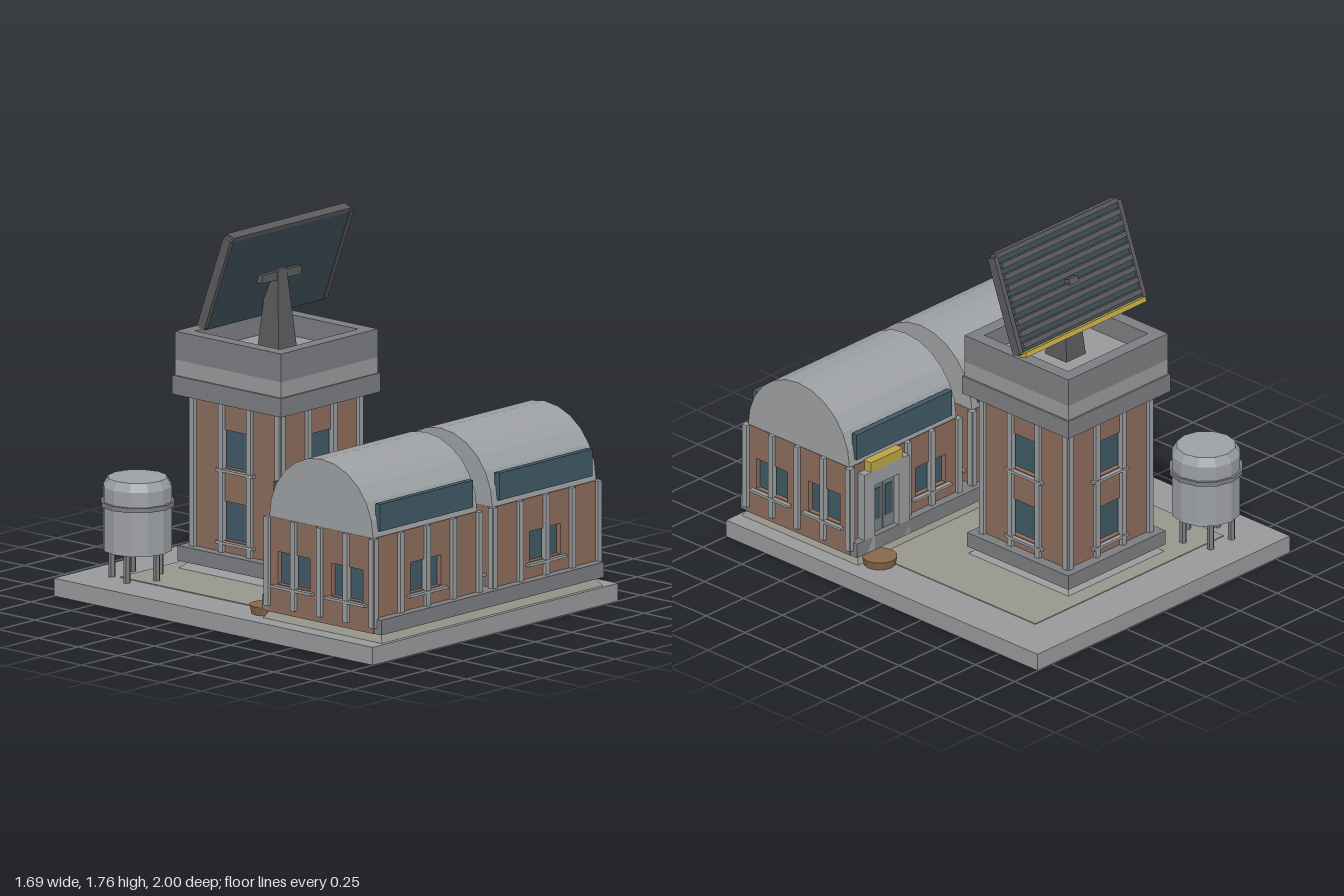
import * as THREE from 'three';

const paint = (color) => new THREE.MeshStandardMaterial({ color, flatShading: true });
const M = {
  concrete: paint(0x97999b), plinth: paint(0x7b7d80), yard: paint(0x96968c), roof: paint(0x9da0a3),
  brick: paint(0x8c6c5c), glass: paint(0x3f5965), trim: paint(0x999c9e), metal: paint(0x5a5a5d),
  panel: paint(0x3a4a54), yellow: paint(0xbba444), wood: paint(0x86684a),
};

function add(parent, name, geometry, material, x = 0, y = 0, z = 0) {
  const mesh = new THREE.Mesh(geometry, material);
  mesh.name = name;
  mesh.position.set(x, y, z);
  parent.add(mesh);
  return mesh;
}

// Box given by its extents on each axis
function block(parent, name, material, x0, x1, y0, y1, z0, z1) {
  return add(parent, name, new THREE.BoxGeometry(x1 - x0, y1 - y0, z1 - z0), material,
    (x0 + x1) / 2, (y0 + y1) / 2, (z0 + z1) / 2);
}

// Rectangular footing that narrows upwards
function footing(parent, name, material, w, d, inset, y0, y1, x, z) {
  const g = new THREE.BoxGeometry(w, y1 - y0, d);
  const p = g.attributes.position;
  for (let i = 0; i < p.count; i++) {
    if (p.getY(i) > 0) {
      p.setX(i, p.getX(i) - Math.sign(p.getX(i)) * inset);
      p.setZ(i, p.getZ(i) - Math.sign(p.getZ(i)) * inset);
    }
  }
  g.computeVertexNormals();
  return add(parent, name, g, material, x, (y0 + y1) / 2, z);
}

function rectPath(path, x0, x1, y0, y1) {
  path.moveTo(x0, y0); path.lineTo(x1, y0); path.lineTo(x1, y1); path.lineTo(x0, y1); path.closePath();
  return path;
}

// Brick wall facing +z with recessed windows, sills and pilasters, turned to one of four sides
function facade(parent, name, turn, { half, dist, y0, y1, windows, pilasters, pilasterY }) {
  const side = new THREE.Group();
  side.name = name;
  side.rotation.y = turn * Math.PI / 2;
  parent.add(side);
  const shape = rectPath(new THREE.Shape(), -half, half, y0, y1);
  for (const [x, w, b, t] of windows) shape.holes.push(rectPath(new THREE.Path(), x - w / 2, x + w / 2, b, t));
  add(side, 'brickWall', new THREE.ExtrudeGeometry(shape, { depth: 0.03, bevelEnabled: false }), M.brick, 0, 0, dist - 0.03);
  for (const [x, w, b, t] of windows) {
    block(side, 'windowPane', M.glass, x - w / 2 - 0.005, x + w / 2 + 0.005, b - 0.005, t + 0.005, dist - 0.045, dist - 0.025);
    block(side, 'windowSill', M.trim, x - w / 2 - 0.025, x + w / 2 + 0.025, b - 0.018, b - 0.005, dist - 0.005, dist + 0.022);
  }
  for (const x of pilasters) {
    block(side, 'pilaster', M.trim, x - 0.014, x + 0.014, pilasterY, y1, dist - 0.01, dist + 0.018);
  }
  return side;
}

// Barrel-vaulted hall, centred on its own origin
function makeHall() {
  const hall = new THREE.Group();
  hall.name = 'hall';
  const wall = { y0: 0.125, y1: 0.58, pilasterY: 0.155 };
  const long = { ...wall, half: 0.36, dist: 0.33 };
  const end = {
    ...wall, half: 0.33, dist: 0.36, pilasters: [-0.33, -0.165, 0, 0.165, 0.33],
    windows: [[-0.17, 0.2, 0.265, 0.42], [0.165, 0.2, 0.265, 0.42]],
  };
  facade(hall, 'frontWall', 0, { ...long, windows: [[0, 0.21, 0.275, 0.42]], pilasters: [-0.36, -0.18, 0, 0.18, 0.36] });
  facade(hall, 'sideWall', 1, end);
  facade(hall, 'sideWall', 3, end);
  const rear = facade(hall, 'rearWall', 2, { ...long, windows: [[0.18, 0.2, 0.275, 0.42]], pilasters: [-0.36, 0.02, 0.18, 0.36] });

  // Entrance with frame, double door and lamp
  const doorX = -0.155;
  for (const s of [-1, 1]) {
    block(rear, 'doorJamb', M.trim, doorX + s * 0.115 - 0.035, doorX + s * 0.115 + 0.035, 0.125, 0.535, 0.32, 0.372);
    block(rear, 'doorLeaf', M.plinth, doorX + s * 0.04 - 0.037, doorX + s * 0.04 + 0.037, 0.125, 0.46, 0.325, 0.342);
    block(rear, 'doorGlass', M.glass, doorX + s * 0.04 - 0.022, doorX + s * 0.04 + 0.022, 0.26, 0.42, 0.34, 0.346);
  }
  block(rear, 'doorLintel', M.trim, doorX - 0.15, doorX + 0.15, 0.46, 0.535, 0.32, 0.372);
  block(rear, 'doorLamp', M.yellow, doorX - 0.108, doorX + 0.108, 0.535, 0.585, 0.325, 0.372);

  // Faceted half-round roof
  const arc = [];
  for (let i = 0; i <= 12; i++) {
    const a = i * Math.PI / 12;
    arc.push(new THREE.Vector2(0.325 * Math.cos(a), 0.325 * Math.sin(a)));
  }
  const vault = new THREE.ExtrudeGeometry(new THREE.Shape(arc), { depth: 0.716, bevelEnabled: false });
  vault.translate(0, 0, -0.358).rotateY(Math.PI / 2);
  add(hall, 'vaultRoof', vault, M.roof, 0, 0.58, 0);
  for (const s of [-1, 1]) {
    add(hall, 'roofWindow', new THREE.BoxGeometry(0.64, 0.13, 0.03), M.glass, 0, 0.672, s * 0.32);
  }
  return hall;
}

function makeTower() {
  const tower = new THREE.Group();
  tower.name = 'tower';
  footing(tower, 'towerFooting', M.concrete, 0.65, 0.65, 0.045, 0.085, 0.125, 0, 0);
  block(tower, 'towerPlinth', M.plinth, -0.325, 0.325, 0.125, 0.197, -0.325, 0.325);
  for (let i = 0; i < 4; i++) {
    facade(tower, 'towerWall', i, {
      half: 0.272, dist: 0.272, y0: 0.19, y1: 0.925, pilasterY: 0.19,
      windows: [[0, 0.185, 0.255, 0.44], [0, 0.185, 0.6, 0.78]], pilasters: [-0.268, -0.088, 0.088, 0.268],
    });
  }
  // Overhanging cap with hollow parapet
  block(tower, 'capLedge', M.plinth, -0.342, 0.342, 0.92, 1.01, -0.342, 0.342);
  block(tower, 'capBand', M.concrete, -0.333, 0.333, 1.01, 1.085, -0.333, 0.333);
  const ring = rectPath(new THREE.Shape(), -0.333, 0.333, -0.333, 0.333);
  ring.holes.push(rectPath(new THREE.Path(), -0.268, 0.268, -0.268, 0.268));
  const parapet = new THREE.ExtrudeGeometry(ring, { depth: 0.135, bevelEnabled: false }).rotateX(-Math.PI / 2);
  add(tower, 'parapet', parapet, M.plinth, 0, 1.085, 0);
  block(tower, 'capFloor', M.concrete, -0.27, 0.27, 1.08, 1.12, -0.27, 0.27);

  // Mast and its cross arm
  footing(tower, 'mast', M.metal, 0.13, 0.135, 0.035, 1.12, 1.52, 0, 0.005);
  block(tower, 'crossArm', M.metal, -0.135, 0.135, 1.47, 1.51, -0.015, 0.035);

  // Tilted antenna array: sheet in front, ribs behind
  const array = new THREE.Group();
  array.name = 'antennaArray';
  array.position.set(0, 1.517, -0.006);
  array.rotation.x = 0.355;
  tower.add(array);
  block(array, 'antennaSheet', M.panel, -0.402, 0.402, -0.245, 0.235, -0.012, 0.02);
  for (const s of [-1, 1]) {
    block(array, 'sideRail', M.metal, s * 0.413 - 0.012, s * 0.413 + 0.012, -0.235, 0.24, -0.024, 0.024);
  }
  block(array, 'topRail', M.metal, -0.405, 0.405, 0.232, 0.254, -0.024, 0.022);
  block(array, 'bottomBar', M.yellow, -0.402, 0.402, -0.255, -0.232, -0.04, 0.008);
  for (let i = 0; i < 8; i++) {
    const y = -0.2 + i * 0.056;
    block(array, 'rib', M.metal, -0.395, 0.395, y - 0.013, y + 0.013, -0.034, -0.01);
  }
  block(array, 'rearBracket', M.metal, -0.03, 0.03, -0.03, 0.0, -0.04, -0.01);
  return tower;
}

function makeTank() {
  const tank = new THREE.Group();
  tank.name = 'waterTank';
  const profile = [[0, 0.22], [0.163, 0.22], [0.163, 0.525], [0.14, 0.565], [0, 0.57]]
    .map(([r, y]) => new THREE.Vector2(r, y));
  add(tank, 'tankBody', new THREE.LatheGeometry(profile, 12), M.roof);
  add(tank, 'tankBand', new THREE.CylinderGeometry(0.175, 0.175, 0.022, 12), M.plinth, 0, 0.443, 0);
  for (let i = 0; i < 5; i++) {
    const a = i * Math.PI * 2 / 5;
    add(tank, 'tankLeg', new THREE.CylinderGeometry(0.017, 0.017, 0.145, 6), M.plinth,
      0.12 * Math.sin(a), 0.153, 0.12 * Math.cos(a));
  }
  return tank;
}

export function createModel() {
  const model = new THREE.Group();
  model.name = 'radarStation';

  // Ground slab and yard
  block(model, 'baseSlab', M.concrete, -0.845, 0.845, 0, 0.085, -1, 1);
  block(model, 'yard', M.yard, -0.63, 0.63, 0.07, 0.089, -0.78, 0.3);

  // Shared base of the two halls
  footing(model, 'hallFooting', M.yard, 1.52, 0.745, 0.025, 0.085, 0.126, 0, 0.607);
  block(model, 'hallPlinth', M.plinth, -0.766, 0.766, 0.125, 0.197, 0.235, 0.982);
  for (const x of [-0.41, 0.41]) {
    const hall = makeHall();
    hall.position.set(x, 0, 0.607);
    model.add(hall);
  }

  const tower = makeTower();
  tower.position.z = -0.374;
  model.add(tower);

  const tank = makeTank();
  tank.position.set(-0.568, 0, -0.727);
  model.add(tank);

  // Round planters beside the halls
  for (const s of [-1, 1]) {
    add(model, 'planter', new THREE.CylinderGeometry(0.084, 0.075, 0.04, 12), M.wood, s * 0.672, 0.105, 0.18);
  }
  return model;
}
